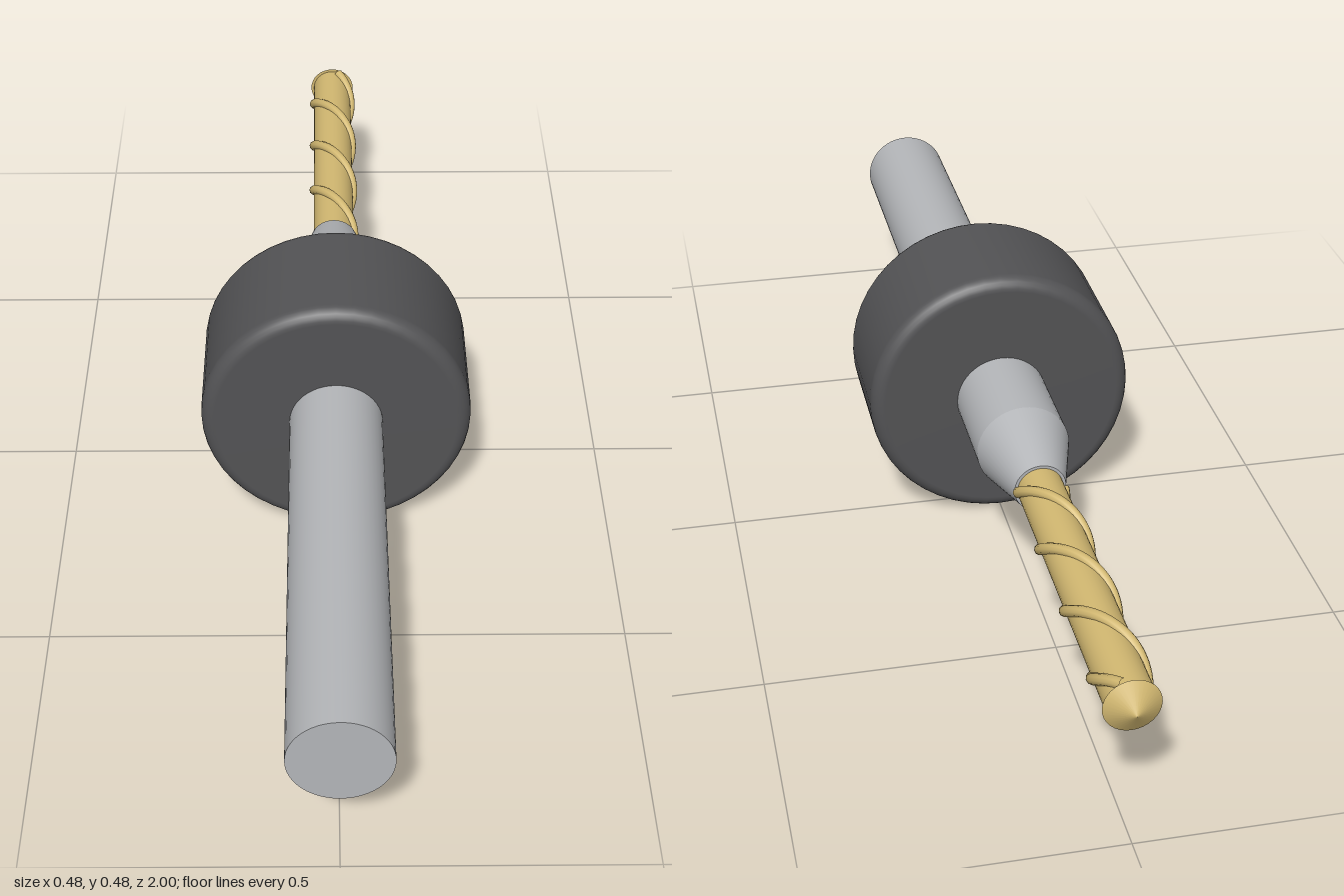
import * as THREE from 'three';

const material = (name, color, side = THREE.FrontSide) => {
  const m = new THREE.MeshStandardMaterial({ color, side });
  m.name = name;
  return m;
};

export function createModel() {
  const steel = material('steel', 0xb4b6b9);
  const darkPlastic = material('dark plastic', 0x535355);
  const gold = material('gold coating', 0xd2b871);

  const model = new THREE.Group();
  model.name = 'drillBit';
  const axisY = 0.242;

  const add = (name, geometry, mat) => {
    const mesh = new THREE.Mesh(geometry, mat);
    mesh.name = name;
    mesh.position.y = axisY;
    model.add(mesh);
  };

  // Cylinder or cone along z, given its front and back ends
  const rod = (zFront, rFront, zBack, rBack, segments = 48) =>
    new THREE.CylinderGeometry(rFront, rBack, zFront - zBack, segments)
      .rotateX(Math.PI / 2)
      .translate(0, 0, (zFront + zBack) / 2);

  // Shank and taper
  add('shank', rod(1, 0.083, -0.235, 0.083), steel);
  add('taper', rod(-0.235, 0.083, -0.37, 0.045), steel);

  // Depth collar with rounded rims
  const R = 0.241, back = -0.052, front = 0.21, bevel = 0.025;
  const profile = [new THREE.Vector2(0, back)];
  const rim = (z, start) => {
    for (let i = 0; i <= 6; i++) {
      const a = start + (i / 6) * Math.PI / 2;
      profile.push(new THREE.Vector2(R - bevel + bevel * Math.cos(a), z + bevel * Math.sin(a)));
    }
  };
  rim(back + bevel, -Math.PI / 2);
  rim(front - bevel, 0);
  profile.push(new THREE.Vector2(0, front));
  add('collar', new THREE.LatheGeometry(profile, 48).rotateX(Math.PI / 2), darkPlastic);

  // Drill core and pointed tip
  add('drillCore', rod(-0.37, 0.04, -0.972, 0.04, 32), gold);
  add('drillTip', rod(-0.972, 0.046, -1, 0, 32), gold);

  // Two spiral ridges, half a turn apart
  const pitch = 0.35;
  for (const [name, phase] of [['spiralRidgeA', 0], ['spiralRidgeB', Math.PI]]) {
    const points = [];
    for (let i = 0; i <= 48; i++) {
      const z = THREE.MathUtils.lerp(-0.375, -0.968, i / 48);
      const a = phase + 2 * Math.PI * (-0.55 - z) / pitch;
      points.push(new THREE.Vector3(0.04 * Math.cos(a), 0.04 * Math.sin(a), z));
    }
    add(name, new THREE.TubeGeometry(new THREE.CatmullRomCurve3(points), 120, 0.0095, 10), gold);
  }

  return model;
}
